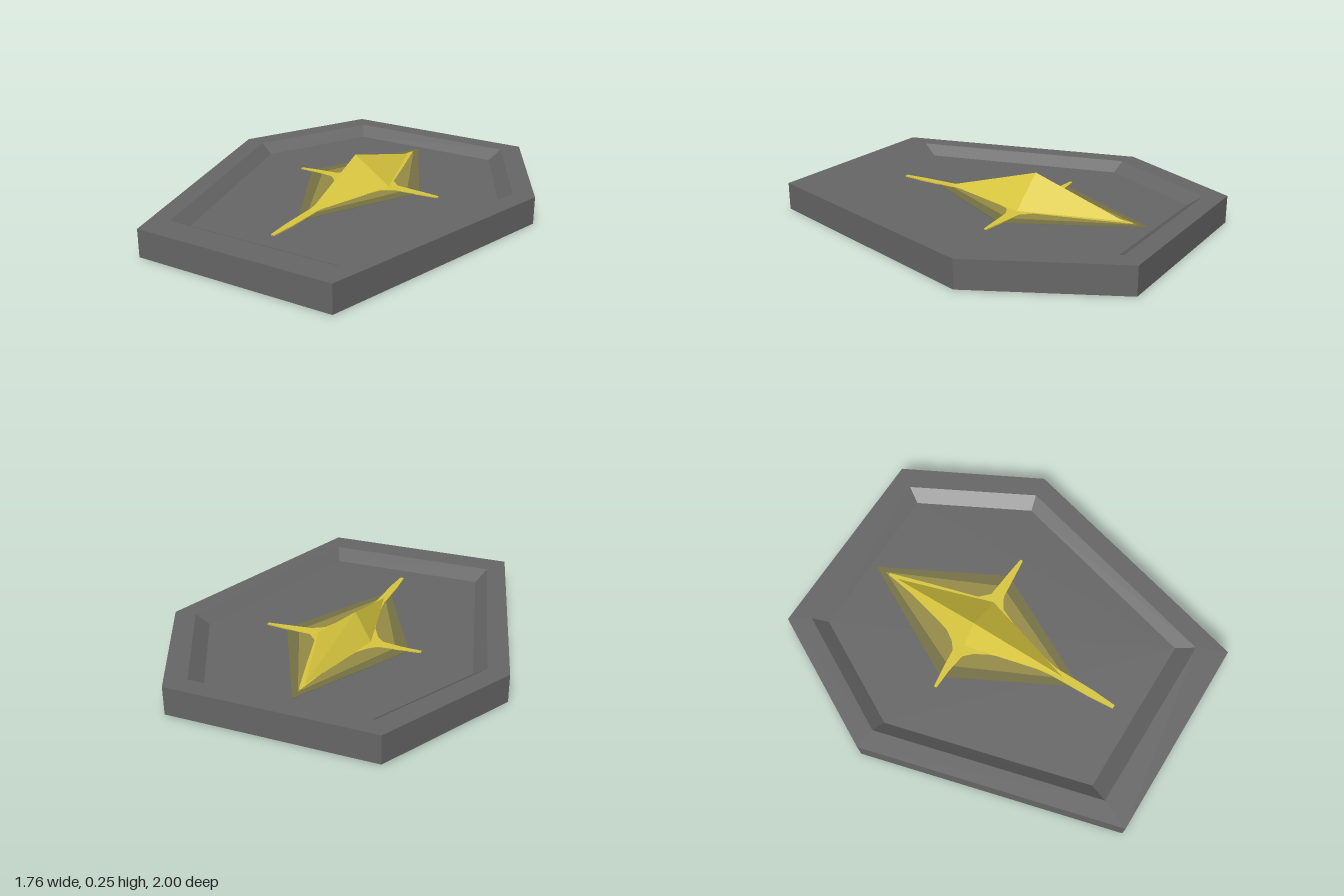
import * as THREE from 'three';

const material = (name, color) => {
  const m = new THREE.MeshStandardMaterial({ color });
  m.name = name;
  return m;
};

// Flat-faced solid through rings of [x, y, z] points, closed by fans at both ends
function loft(rings) {
  const pos = [];
  const tri = (a, b, c) => pos.push(...a, ...b, ...c);
  const n = rings[0].length;
  for (let r = 0; r < rings.length - 1; r++) {
    for (let i = 0; i < n; i++) {
      const j = (i + 1) % n;
      const [a, b, c, d] = [rings[r][i], rings[r][j], rings[r + 1][j], rings[r + 1][i]];
      tri(a, b, c);
      tri(a, c, d);
    }
  }
  const first = rings[0], last = rings[rings.length - 1];
  for (let i = 1; i < n - 1; i++) {
    tri(first[0], first[i + 1], first[i]);
    tri(last[0], last[i], last[i + 1]);
  }
  const g = new THREE.BufferGeometry();
  g.setAttribute('position', new THREE.Float32BufferAttribute(pos, 3));
  g.computeVertexNormals();
  return g;
}

// Mirrored six-sided ring: half widths and depths of the back, shoulder and front corners
const hexRing = (y, [xb, zb], [xs, zs], [xf, zf]) => [
  [xf, y, zf], [xs, y, zs], [xb, y, zb], [-xb, y, zb], [-xs, y, zs], [-xf, y, zf],
];

// Thin horizontal plate from a shape drawn in (x, -z)
function plate(shape, y, thickness) {
  const g = new THREE.ExtrudeGeometry(shape, { depth: thickness, bevelEnabled: false, curveSegments: 6 });
  return g.rotateX(-Math.PI / 2).translate(0, y, 0);
}

const polygon = (pts) => new THREE.Shape(pts.map(([x, z]) => new THREE.Vector2(x, -z)));

export function createModel() {
  const model = new THREE.Group();
  const grey = material('stone grey', 0x666666);
  const yellow = material('bright yellow', 0xd8c63e);
  const glowInner = material('inner glow', 0x958a44);
  const glowOuter = material('outer glow', 0x747044);
  const brown = material('dark brown', 0x4c3010);

  const add = (name, geometry, mat) => {
    const mesh = new THREE.Mesh(geometry, mat);
    mesh.name = name;
    model.add(mesh);
  };

  // Slab with a sloping recess in its top
  const floorY = 0.095;
  const edge = [[0.52, -1], [0.88, -0.31], [0.525, 1]];
  add('slab', loft([
    hexRing(0.003, ...edge),
    hexRing(0.145, ...edge),
    hexRing(0.145, [0.45, -0.9], [0.77, -0.295], [0.46, 0.85]),
    hexRing(floorY, [0.41, -0.83], [0.70, -0.28], [0.42, 0.76]),
  ]), grey);

  // Glow diamonds lying on the recess floor
  const cx = -0.02, cz = -0.175;
  const diamond = (w, back, front) => polygon([[cx, front], [cx + w, cz], [cx, back], [cx - w, cz]]);
  add('outerGlow', plate(diamond(0.33, -0.8, 0.45), floorY, 0.002), glowOuter);
  add('innerGlow', plate(diamond(0.26, -0.74, 0.37), floorY, 0.004), glowInner);

  // Four-pointed star with thin arms
  add('star', plate(polygon([
    [-0.03, 0.65], [-0.04, 0.52], [-0.045, 0.3], [-0.07, 0.1],
    [-0.12, -0.03], [-0.16, -0.1], [-0.2, -0.14], [-0.3, -0.155], [-0.41, -0.16],
    [-0.41, -0.175], [-0.3, -0.19], [-0.2, -0.2], [-0.16, -0.23], [-0.12, -0.29],
    [-0.06, -0.5], [-0.025, -0.72], [-0.015, -0.72],
    [0.05, -0.5], [0.12, -0.25], [0.17, -0.2], [0.33, -0.185], [0.42, -0.175],
    [0.42, -0.16], [0.33, -0.15], [0.19, -0.135], [0.13, -0.1], [0.04, 0.1],
    [0.002, 0.3], [0, 0.52], [-0.01, 0.65],
  ]), floorY, 0.006), yellow);

  // Raised off-centre crystal
  const apex = [-0.06, 0.245, -0.155];
  add('crystal', loft([
    [[-0.02, floorY, 0.37], [0.145, floorY, -0.165], [-0.02, floorY, -0.69], [-0.15, floorY, -0.165]],
    [apex, apex, apex, apex],
  ]), yellow);

  // Rounded strips on the underside
  for (const [name, x] of [['leftStrip', 0.4], ['rightStrip', -0.4]]) {
    const w = 0.093, h = 0.715, r = 0.03;
    const s = new THREE.Shape();
    s.moveTo(x - w + r, -h);
    s.lineTo(x + w - r, -h);
    s.quadraticCurveTo(x + w, -h, x + w, -h + r);
    s.lineTo(x + w, h - r);
    s.quadraticCurveTo(x + w, h, x + w - r, h);
    s.lineTo(x - w + r, h);
    s.quadraticCurveTo(x - w, h, x - w, h - r);
    s.lineTo(x - w, -h + r);
    s.quadraticCurveTo(x - w, -h, x - w + r, -h);
    add(name, plate(s, 0, 0.005), brown);
  }
  return model;
}
